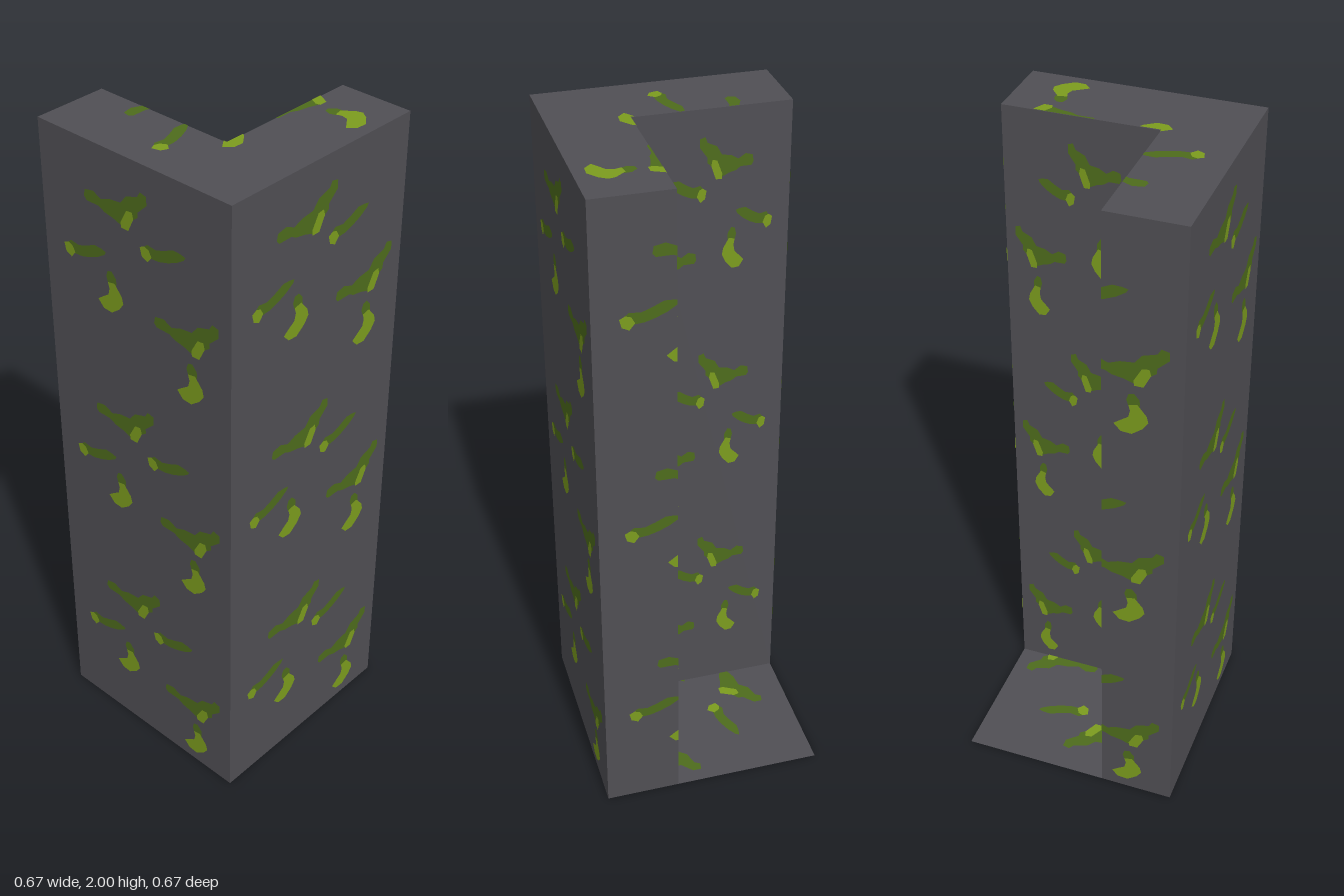
import * as THREE from 'three';
import { mergeGeometries } from 'three/addons/utils/BufferGeometryUtils.js';

const W = 1 / 3;      // half width of the column
const N = 1 / 9;      // inner corner of the notch
const TILE = 2 / 3;   // size of one pattern square

// Double-sided: the notch floor and the moss are open, paper-thin surfaces
function flat(name, color) {
  const material = new THREE.MeshStandardMaterial({ color, side: THREE.DoubleSide });
  material.name = name;
  return material;
}
const stone = flat('darkStone', 0x504f54);
const mossDark = flat('darkMoss', 0x4e6c1c);
const mossLight = flat('lightMoss', 0x7c9c1e);

// Three moss motifs inside a pattern square centred on 0,0; each appears twice
const motifs = [
  { // forked sprig
    at: [[0, 0], [0.24, -0.277]],
    dark: [[0.03, 0.255], [0.052, 0.25], [0.052, 0.225], [0.02, 0.195], [0.02, 0.18], [0, 0.165],
      [-0.04, 0.135], [-0.07, 0.145], [-0.1, 0.15], [-0.12, 0.16], [-0.165, 0.16], [-0.174, 0.17],
      [-0.17, 0.19], [-0.14, 0.196], [-0.11, 0.183], [-0.08, 0.195], [-0.04, 0.2], [-0.02, 0.225], [0.02, 0.238]],
    light: [[0, 0.188], [0.005, 0.17], [-0.015, 0.13], [-0.04, 0.13], [-0.042, 0.145], [-0.02, 0.185]],
  },
  { // slim blade
    at: [[0, 0], [-0.285, -0.1]],
    dark: [[0.182, 0.132], [0.176, 0.122], [0.15, 0.105], [0.12, 0.092], [0.09, 0.083], [0.05, 0.08],
      [0.03, 0.1], [0.05, 0.116], [0.08, 0.112], [0.11, 0.123], [0.14, 0.137], [0.165, 0.136]],
    light: [[0.055, 0.103], [0.065, 0.085], [0.05, 0.066], [0.03, 0.076], [0.024, 0.1], [0.04, 0.108]],
  },
  { // curled leaf
    at: [[0, 0], [0.285, -0.155]],
    dark: [[-0.085, -0.018], [-0.07, -0.035], [-0.068, -0.055], [-0.1, -0.058], [-0.106, -0.04], [-0.1, -0.022]],
    light: [[-0.075, -0.05], [-0.05, -0.08], [-0.045, -0.1], [-0.06, -0.122], [-0.09, -0.145], [-0.12, -0.143],
      [-0.14, -0.122], [-0.12, -0.107], [-0.1, -0.093], [-0.095, -0.073], [-0.1, -0.055]],
  },
];

// Cut a polygon to the rectangle x0..x1, y0..y1
function clip(points, [x0, x1, y0, y1]) {
  for (const [axis, limit, sign] of [[0, x0, 1], [0, x1, -1], [1, y0, 1], [1, y1, -1]]) {
    const out = [];
    points.forEach((p, i) => {
      const q = points[(i + 1) % points.length];
      const a = (p[axis] - limit) * sign, b = (q[axis] - limit) * sign;
      if (a >= 0) out.push(p);
      if (a * b < 0) {
        const t = a / (a - b);
        out.push([p[0] + (q[0] - p[0]) * t, p[1] + (q[1] - p[1]) * t]);
      }
    });
    points = out;
  }
  return points;
}

// Thin moss patches on one face: map places the pattern, rect bounds the face
function mossPanel(name, map, rect, position, rotX, rotY, tiles = 1) {
  const panel = new THREE.Group();
  panel.name = name;
  for (const [key, material, lift] of [['dark', mossDark, 0.001], ['light', mossLight, 0.002]]) {
    const parts = [];
    for (let k = 0; k < tiles; k++) {
      for (const motif of motifs) {
        for (const [du, dv] of motif.at) {
          const pts = clip(motif[key].map(([u, v]) => map(u + du, v + dv, k)), rect);
          if (pts.length < 3) continue;
          parts.push(new THREE.ShapeGeometry(new THREE.Shape(pts.map(p => new THREE.Vector2(...p)))));
        }
      }
    }
    if (!parts.length) continue;
    const mesh = new THREE.Mesh(mergeGeometries(parts), material);
    mesh.name = key + 'MossPatches';
    mesh.position.z = lift;
    panel.add(mesh);
  }
  panel.position.set(...position);
  panel.rotation.set(rotX, rotY, 0);
  return panel;
}

export function createModel() {
  const model = new THREE.Group();
  model.name = 'cornerColumn';

  // L-shaped column, open towards the back
  const outline = new THREE.Shape([[-W, -W], [W, -W], [W, W], [N, W], [N, -N], [-W, -N]]
    .map(p => new THREE.Vector2(...p)));
  const body = new THREE.Mesh(
    new THREE.ExtrudeGeometry(outline, { depth: 2, bevelEnabled: false }).rotateX(-Math.PI / 2), stone);
  body.name = 'column';
  model.add(body);

  // Paper-thin floor in the notch
  const floor = new THREE.Mesh(new THREE.PlaneGeometry(W + N, W + N).rotateX(-Math.PI / 2), stone);
  floor.name = 'notchFloor';
  floor.position.set((N - W) / 2, 0, (N - W) / 2);
  model.add(floor);

  // Moss on the upright faces, three squares high
  const H = Math.PI / 2;
  const plain = (u, v, k) => [u, v + W + k * TILE];
  const squeezed = start => (u, v, k) => [start + (W - u) / 1.5, v + W + k * TILE];
  model.add(
    mossPanel('frontMoss', plain, [-W, W, 0, 2], [0, 0, W], 0, 0, 3),
    mossPanel('leftMoss', plain, [-W, W, 0, 2], [W, 0, 0], 0, H, 3),
    mossPanel('backEndMoss', plain, [-W, -N, 0, 2], [0, 0, -W], 0, 2 * H, 3),
    mossPanel('rightEndMoss', plain, [N, W, 0, 2], [-W, 0, 0], 0, -H, 3),
    mossPanel('innerBackMoss', squeezed(-N), [-N, W, 0, 2], [0, 0, N], 0, 2 * H, 3),
    mossPanel('innerRightMoss', squeezed(-W), [-W, N, 0, 2], [N, 0, 0], 0, -H, 3),
  );

  // Moss on the level faces, turned a quarter
  const turned = (u, v) => [-v, u];
  const turnedBelow = (u, v) => [-v, -u];
  model.add(
    mossPanel('topSideMoss', turned, [N, W, -W, W], [0, 2, 0], -H, 0),
    mossPanel('topFrontMoss', turned, [-W, N, -W, -N], [0, 2, 0], -H, 0),
    mossPanel('floorMoss', turned, [-W, N, -N, W], [0, 0, 0], -H, 0),
    mossPanel('undersideMoss', turnedBelow, [-W, W, -W, W], [0, 0, 0], H, 0),
  );
  return model;
}
